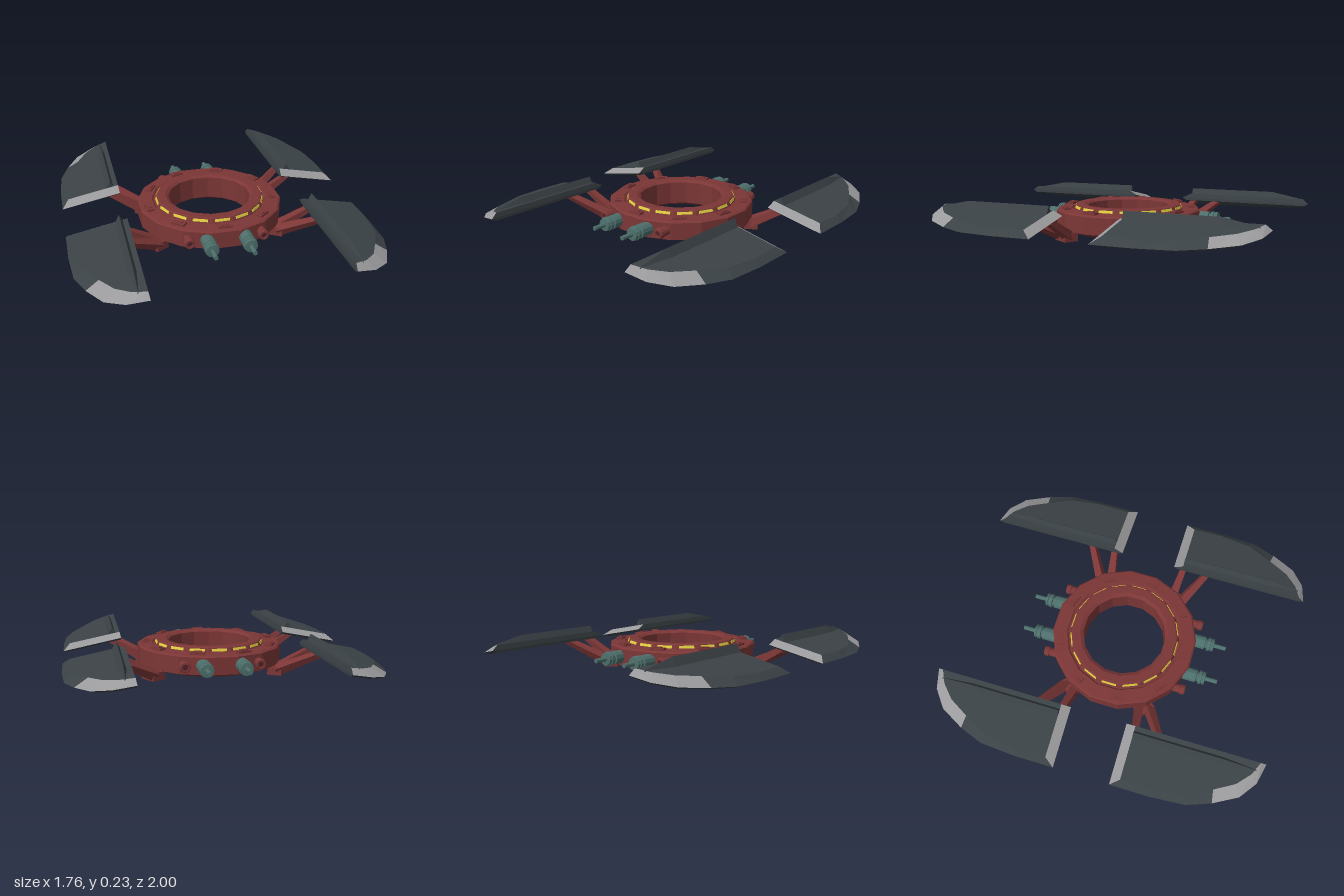
import * as THREE from 'three';

const mat = (name, color) => {
  const m = new THREE.MeshStandardMaterial({ color, flatShading: true });
  m.name = name;
  return m;
};

export function createModel() {
  const red = mat('hull red', 0x7c3636);
  const darkRed = mat('dark red', 0x4c2226);
  const slate = mat('wing slate', 0x3b4246);
  const silver = mat('edge silver', 0x9a9a9c);
  const teal = mat('cannon teal', 0x4d6f6b);
  const yellow = mat('light yellow', 0xe0cc40);

  const model = new THREE.Group();
  model.name = 'ringStation';
  const add = (name, geo, material, parent = model) => {
    const m = new THREE.Mesh(geo, material);
    m.name = name;
    parent.add(m);
    return m;
  };
  const lathe = (pts, sides) => new THREE.LatheGeometry(pts.map(p => new THREE.Vector2(...p)), sides);

  // Ring hull: 16 flat sides facing the axes, with a raised inner collar
  const SIDES = 16;
  const k = 1 / Math.cos(Math.PI / SIDES);
  const profile = [
    [0.265, 0.025], [0.34, 0.025], [0.43, 0.055], [0.43, 0.155], [0.42, 0.163], [0.345, 0.167],
    [0.337, 0.158], [0.327, 0.158], [0.317, 0.186], [0.31, 0.19], [0.265, 0.19], [0.245, 0.178],
    [0.245, 0.04], [0.265, 0.025],
  ].map(([r, y]) => [r * k, y]);
  add('ringHull', lathe(profile, SIDES).rotateY(Math.PI / SIDES), red);

  // Light strips around the collar
  for (let i = 0; i < SIDES; i++) {
    const g = new THREE.BoxGeometry(0.088, 0.016, 0.005);
    g.rotateX(-0.34).translate(0, 0.174, 0.322).rotateY((i * 2 * Math.PI) / SIDES);
    add('lightStrip', g, yellow);
  }

  // Nine clamps on the deck, evenly spaced from the front
  for (let i = 0; i < 9; i++) {
    const clamp = new THREE.Group();
    clamp.name = 'deckClamp';
    clamp.rotation.y = (i * 2 * Math.PI) / 9;
    model.add(clamp);
    add('clampBase', new THREE.BoxGeometry(0.08, 0.016, 0.04).translate(0, 0.169, 0.385), red, clamp);
    add('clampCap', new THREE.BoxGeometry(0.045, 0.008, 0.022).translate(0, 0.179, 0.385), red, clamp);
  }

  // Cannons and short ports, front and back
  const cannonProfile = [
    [0.04, 0.36], [0.04, 0.485], [0.03, 0.488], [0.03, 0.498], [0.042, 0.5], [0.042, 0.518],
    [0.036, 0.52], [0.036, 0.526], [0.041, 0.528], [0.038, 0.54], [0.013, 0.542], [0.013, 0.615], [0, 0.615],
  ];
  const portProfile = [
    [0.026, 0.35], [0.026, 0.41], [0.031, 0.413], [0.031, 0.435], [0.027, 0.443], [0.017, 0.443], [0.017, 0.43],
  ];
  for (const turn of [0, Math.PI]) {
    for (const s of [-1, 1]) {
      const place = (geo, x) => geo.rotateX(Math.PI / 2).translate(s * x, 0.108, 0).rotateY(turn);
      add('cannon', place(lathe(cannonProfile, 12), 0.11), teal);
      add('port', place(lathe(portProfile, 12), 0.215), red);
      add('portBore', place(new THREE.CylinderGeometry(0.018, 0.018, 0.004, 12).translate(0, 0.43, 0), 0.215), darkRed);
    }
  }

  // Tapered square beam from a to b
  const beam = (a, b, ra, rb) => {
    const p = new THREE.Vector3(...a), q = new THREE.Vector3(...b);
    const d = q.clone().sub(p);
    const g = new THREE.CylinderGeometry(rb * Math.SQRT2, ra * Math.SQRT2, d.length(), 4);
    g.rotateY(Math.PI / 4);
    g.applyQuaternion(new THREE.Quaternion().setFromUnitVectors(new THREE.Vector3(0, 1, 0), d.normalize()));
    return g.translate((p.x + q.x) / 2, (p.y + q.y) / 2, (p.z + q.z) / 2);
  };

  // Wing outline at its edge and its raised deck, as [x, z]
  const edge = [[0.525, 0.17], [0.88, 0.17], [0.88, 0.41], [0.865, 0.62], [0.815, 0.76], [0.74, 0.9], [0.64, 0.975], [0.525, 1]];
  const deck = [[0.53, 0.225], [0.84, 0.225], [0.845, 0.41], [0.82, 0.6], [0.745, 0.745], [0.68, 0.86], [0.605, 0.93], [0.53, 0.965]];
  const midY = x => 0.17 - (x - 0.525) * 0.2;

  function wing(sx, sz) {
    const group = new THREE.Group();
    group.name = (sz > 0 ? 'front' : 'back') + (sx > 0 ? 'Left' : 'Right') + 'Wing';
    model.add(group);
    const dark = [], bright = [];
    const tri = (out, a, b, c) => {
      for (const p of sx * sz > 0 ? [a, c, b] : [a, b, c]) out.push(p[0] * sx, p[1], p[2] * sz);
    };
    const quad = (out, a, b, c, d) => { tri(out, a, b, c); tri(out, a, c, d); };

    const O = edge.map(([x, z]) => [x, midY(x), z]);
    const T = deck.map(([x, z]) => [x, midY(x) + 0.03, z]);
    const B = edge.map(([x, z]) => {
      const bx = 0.525 + (x - 0.525) * 0.92, bz = 0.58 + (z - 0.58) * 0.94;
      return [bx, midY(bx) - 0.015, bz];
    });
    const n = O.length;
    for (let i = 0; i < n; i++) {
      const j = (i + 1) % n;
      const isSilver = i === 0 || (i >= 4 && i <= 6);
      quad(isSilver ? bright : dark, O[i], O[j], T[j], T[i]);
      quad(dark, B[i], B[j], O[j], O[i]);
      if (i > 0 && i < n - 1) {
        tri(dark, T[0], T[i], T[j]);
        tri(dark, B[0], B[j], B[i]);
      }
    }

    // Ridge fin along the inner side of the deck
    const fin = [[0.225, 0.23, 1], [0.76, 0.23, 1], [0.95, 0.192, 0.3]].map(([z, y, w]) => [
      [0.575 - 0.025 * w, 0.178, z], [0.577, y, z], [0.577 + 0.028 * w, 0.178, z],
    ]);
    for (let s = 0; s < 2; s++) {
      const [a, b] = [fin[s], fin[s + 1]];
      quad(dark, a[1], b[1], b[0], a[0]);
      quad(dark, a[2], b[2], b[1], a[1]);
    }
    tri(dark, fin[0][0], fin[0][2], fin[0][1]);
    tri(dark, fin[2][0], fin[2][1], fin[2][2]);

    for (const [name, pos, m] of [['wingPanel', dark, slate], ['wingTrim', bright, silver]]) {
      const g = new THREE.BufferGeometry();
      g.setAttribute('position', new THREE.Float32BufferAttribute(pos, 3));
      g.computeVertexNormals();
      add(name, g, m, group);
    }

    // Mount block on the hull and two spreading struts
    const angle = Math.atan2(0.23 * sz, 0.37 * sx);
    const mount = new THREE.BoxGeometry(0.085, 0.05, 0.115);
    mount.rotateY(-angle).translate(0.37 * sx, 0.025, 0.23 * sz);
    add('strutMount', mount, red, group);
    add('outerStrut', beam([0.36 * sx, 0.028, 0.262 * sz], [0.6 * sx, 0.155, 0.405 * sz], 0.026, 0.016), red, group);
    add('innerStrut', beam([0.385 * sx, 0.028, 0.205 * sz], [0.6 * sx, 0.155, 0.235 * sz], 0.026, 0.016), red, group);
  }
  for (const sx of [-1, 1]) for (const sz of [-1, 1]) wing(sx, sz);

  return model;
}
